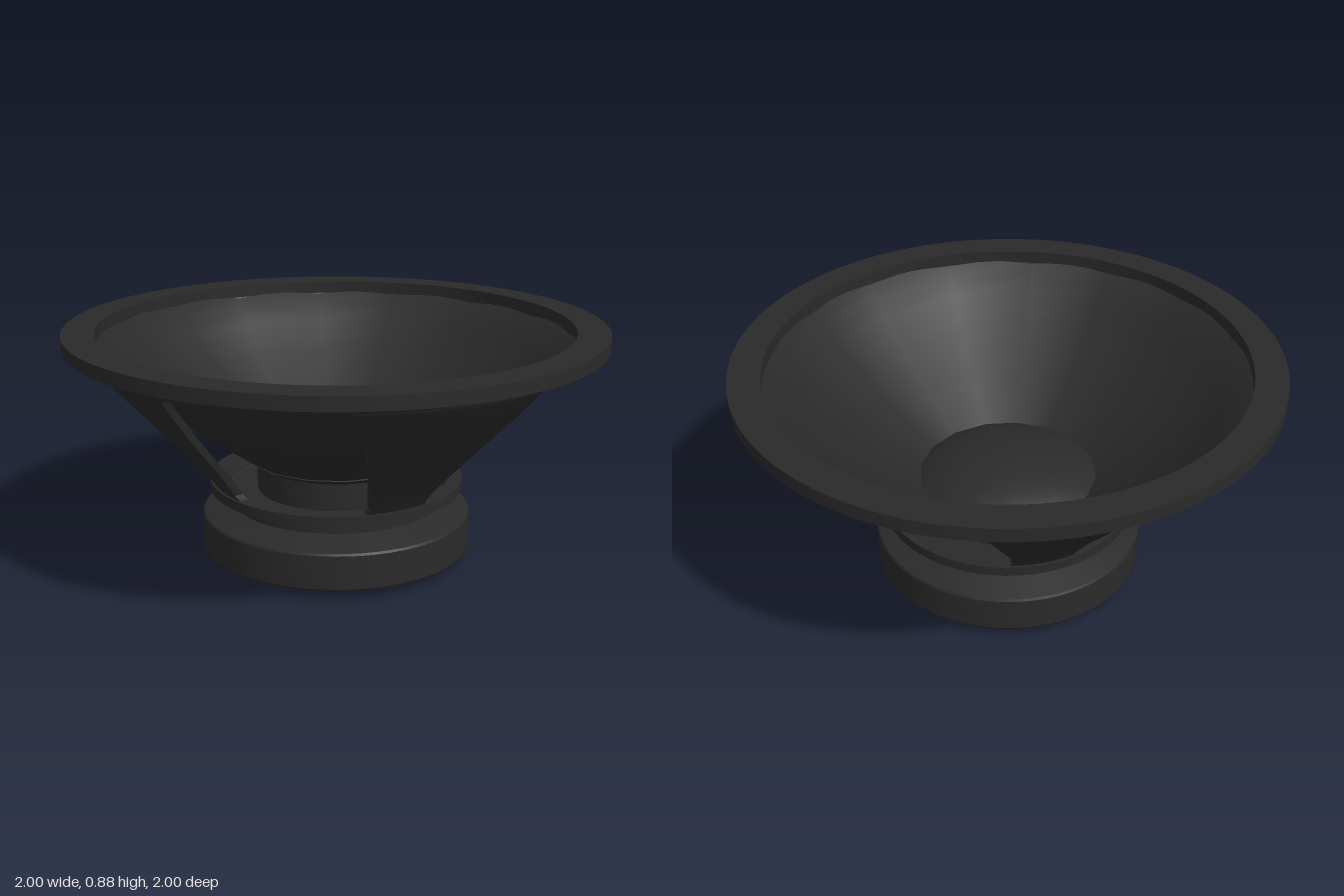
import * as THREE from 'three';
import { toCreasedNormals } from 'three/addons/utils/BufferGeometryUtils.js';

const material = new THREE.MeshStandardMaterial({ color: 0x2a2a2a });
const thinMaterial = new THREE.MeshStandardMaterial({ color: 0x2a2a2a, side: THREE.DoubleSide });

// Turned part from a [radius, height] profile
function turned(name, profile, segments = 64, mat = material, crease = 0.5) {
  const points = profile.map(([r, y]) => new THREE.Vector2(r, y));
  const geometry = toCreasedNormals(new THREE.LatheGeometry(points, segments), crease);
  const mesh = new THREE.Mesh(geometry, mat);
  mesh.name = name;
  return mesh;
}

// Basket leg: curved plate between two windows, lofted from closed sections.
// Each row is [height, outer radius, half width of the neighbouring window].
const LEG_ROWS = [
  [0.28, 0.455, 0.22], [0.305, 0.47, 0.235], [0.325, 0.483, 0.252], [0.4, 0.542, 0.267],
  [0.5, 0.635, 0.29], [0.6, 0.727, 0.31], [0.7, 0.818, 0.326], [0.765, 0.873, 0.335],
  [0.785, 0.888, 0.328], [0.797, 0.897, 0.305], [0.81, 0.9, 0.29],
];

function legGeometry() {
  const steps = 12, thickness = 0.035, positions = [], indices = [];
  const loop = 2 * (steps + 1);
  for (const [y, radius, half] of LEG_ROWS) {
    const start = Math.asin(half / radius);
    const end = Math.PI / 2 - start;
    for (let k = 0; k < loop; k++) {
      const outer = k <= steps;
      const t = (outer ? k : loop - 1 - k) / steps;
      const angle = start + (end - start) * t;
      const r = outer ? radius : radius - thickness;
      positions.push(r * Math.sin(angle), y, r * Math.cos(angle));
    }
  }
  for (let i = 0; i < LEG_ROWS.length - 1; i++) {
    for (let k = 0; k < loop; k++) {
      const a = i * loop + k, b = i * loop + (k + 1) % loop;
      indices.push(a, b, a + loop, b, b + loop, a + loop);
    }
  }
  const geometry = new THREE.BufferGeometry();
  geometry.setAttribute('position', new THREE.Float32BufferAttribute(positions, 3));
  geometry.setIndex(indices);
  return toCreasedNormals(geometry, 0.6);
}

export function createModel() {
  const model = new THREE.Group();
  model.name = 'loudspeakerDriver';

  // Magnet with chamfered edges and the neck above it
  model.add(turned('magnet', [
    [0, 0], [0.41, 0], [0.505, 0.036], [0.51, 0.045], [0.51, 0.17], [0.505, 0.178],
    [0.4, 0.212], [0.4, 0.26], [0, 0.26],
  ]));

  // Lower basket flange, open in the middle
  model.add(turned('lowerFlange', [
    [0.39, 0.245], [0.4, 0.245], [0.48, 0.268], [0.48, 0.305], [0.425, 0.305],
    [0.41, 0.26], [0.39, 0.245],
  ]));

  // Four legs on the diagonals
  const legs = new THREE.Group();
  legs.name = 'basketLegs';
  const geometry = legGeometry();
  for (let i = 0; i < 4; i++) {
    const leg = new THREE.Mesh(geometry, material);
    leg.name = 'basketLeg';
    leg.rotation.y = i * Math.PI / 2;
    legs.add(leg);
  }
  model.add(legs);

  // Upper basket ring and mounting rim
  model.add(turned('upperRing', [
    [0.865, 0.797], [0.895, 0.797], [0.91, 0.812], [0.915, 0.84], [0.885, 0.84], [0.865, 0.797],
  ]));
  model.add(turned('mountingRim', [
    [0.88, 0.835], [1, 0.835], [1, 0.885], [0.88, 0.885], [0.88, 0.835],
  ], 96));

  // Cone, voice coil former and dust cap
  model.add(turned('cone', [
    [0.29, 0.355], [0.34, 0.39], [0.5, 0.5], [0.65, 0.62], [0.72, 0.68], [0.78, 0.74],
    [0.84, 0.8], [0.91, 0.85],
  ], 16, thinMaterial, 1));
  model.add(turned('voiceCoil', [[0.3, 0.255], [0.3, 0.362]], 32, thinMaterial));
  model.add(turned('dustCap', [
    [0.34, 0.385], [0.3, 0.412], [0.23, 0.442], [0.15, 0.462], [0.07, 0.473], [0, 0.476],
  ], 16, thinMaterial, 1));

  return model;
}
